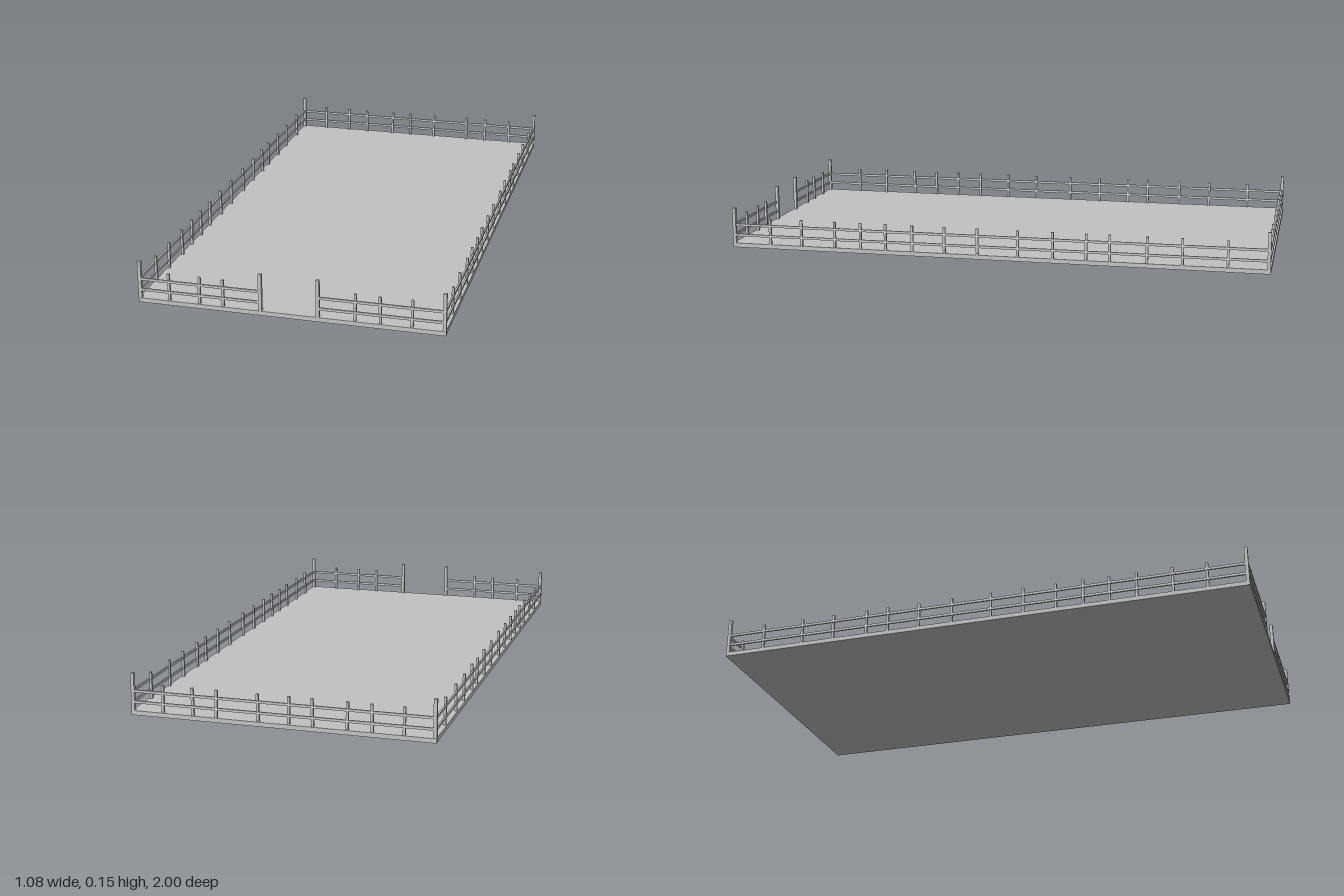
import * as THREE from 'three';

export function createModel() {
  const model = new THREE.Group();
  model.name = 'fencedYard';
  const grey = new THREE.MeshStandardMaterial({ color: 0xc2c2c2 });
  grey.name = 'plainGrey';

  const HX = 0.54, HZ = 1, FLOOR = 0.016;
  const PX = 0.535, PZ = 0.993; // post lines

  const box = (parent, name, w, h, d, x, y, z) => {
    const mesh = new THREE.Mesh(new THREE.BoxGeometry(w, h, d), grey);
    mesh.name = name;
    mesh.position.set(x, y, z);
    parent.add(mesh);
    return mesh;
  };

  // Ground slab
  box(model, 'groundSlab', HX * 2, FLOOR, HZ * 2, 0, FLOOR / 2, 0);

  // Tall posts at the corners and on both sides of the gate opening
  const tallPost = (name, x, z) => box(model, name, 0.012, 0.15, 0.012, x, 0.075, z);
  for (const sx of [-1, 1]) {
    for (const sz of [-1, 1]) tallPost('cornerPost', sx * PX, sz * PZ);
    tallPost('gatePost', sx * 0.101, PZ);
  }

  // Short posts lean very slightly, alternating along the run
  let count = 0;
  const shortPost = (parent, x, z) => {
    const post = box(parent, 'shortPost', 0.009, 0.103, 0.009, x, 0.0615, z);
    const lean = [0.02, -0.015, 0.01, -0.02][count++ % 4];
    post.rotation.set(lean * 0.4, 0, lean);
  };

  // Two rails outside the posts, between two points on one axis
  const RAILS = [0.047, 0.086], RH = 0.009, RT = 0.006;
  const fence = (name, axis, from, to, side, posts) => {
    const group = new THREE.Group();
    group.name = name;
    const mid = (from + to) / 2, len = to - from;
    for (const y of RAILS) {
      if (axis === 'x') box(group, 'rail', len, RH, RT, mid, y, side * (PZ + 0.003));
      else box(group, 'rail', RT, RH, len, side * (PX + 0.002), y, mid);
    }
    for (const p of posts) {
      if (axis === 'x') shortPost(group, p, side * (PZ - 0.002));
      else shortPost(group, side * (PX - 0.002), p);
    }
    model.add(group);
  };

  const leftPosts = [-0.43, -0.32, -0.235];
  const rightPosts = [0.23, 0.316, 0.425];
  const sidePosts = [0.853, 0.73, 0.6, 0.5, 0.404, 0.302, 0.18, 0.056,
    -0.094, -0.222, -0.345, -0.43, -0.564, -0.69, -0.85];

  fence('frontFenceRight', 'x', -PX, -0.101, 1, leftPosts);
  fence('frontFenceLeft', 'x', 0.101, PX, 1, rightPosts);
  fence('backFence', 'x', -PX, PX, -1, [...leftPosts, -0.113, -0.03, 0.08, ...rightPosts]);
  fence('leftFence', 'z', -PZ, PZ, 1, sidePosts);
  fence('rightFence', 'z', -PZ, PZ, -1, sidePosts);

  return model;
}
